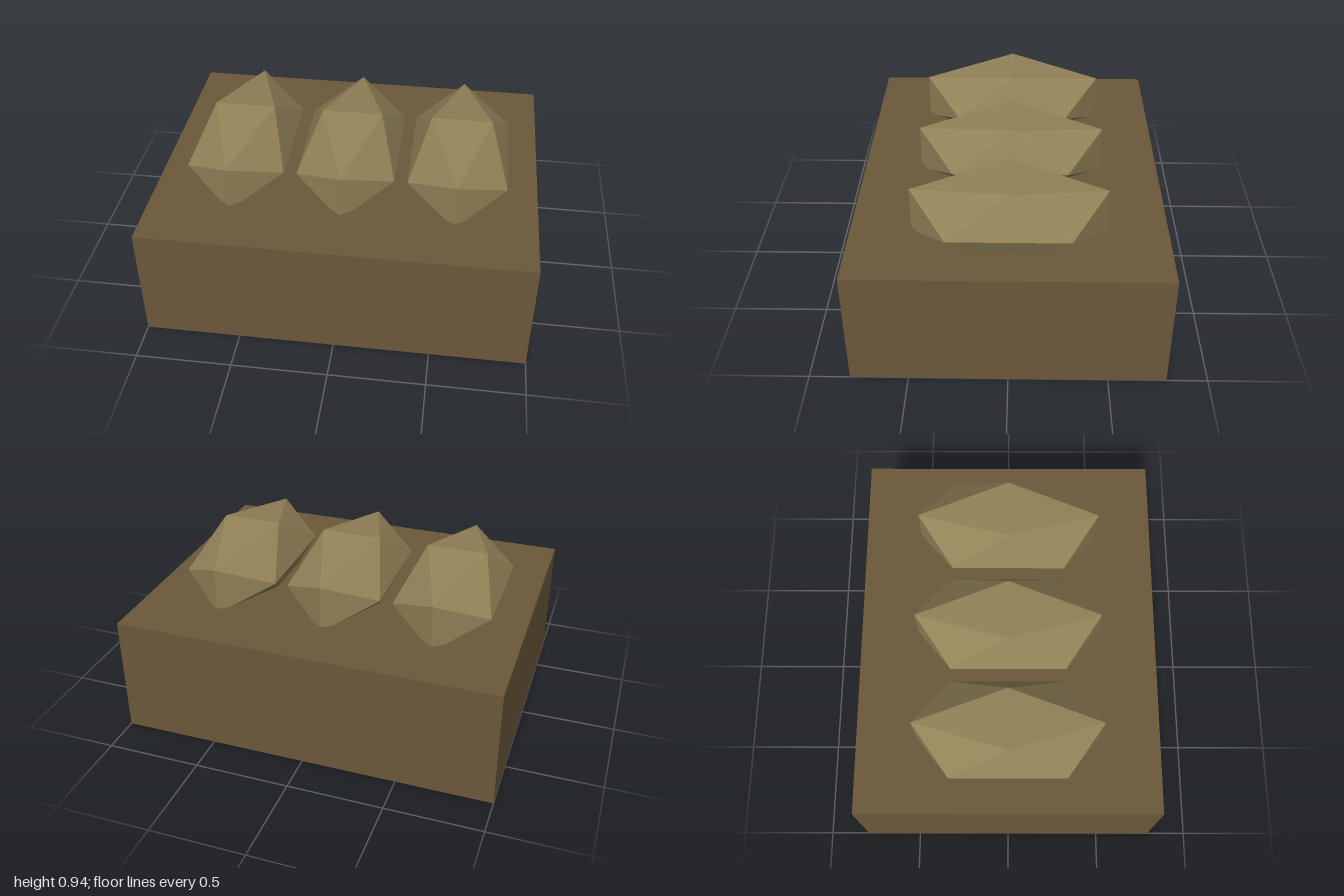
import * as THREE from 'three';

const HEIGHT = 0.634;

export function createModel() {
  const model = new THREE.Group();
  const darkBrown = new THREE.MeshStandardMaterial({ color: 0x6b583a });
  darkBrown.name = 'darkBrown';
  const paleTan = new THREE.MeshStandardMaterial({ color: 0x928258, flatShading: true });
  paleTan.name = 'paleTan';

  // Solid block standing on the ground
  const block = new THREE.Mesh(new THREE.BoxGeometry(2, HEIGHT, 1.588), darkBrown);
  block.name = 'block';
  block.position.y = HEIGHT / 2;
  model.add(block);

  // Three long faceted lumps, half sunk into the top
  const lumpGeometry = new THREE.IcosahedronGeometry(1, 0).scale(0.301, 0.242, 0.577);
  ['rightLump', 'middleLump', 'leftLump'].forEach((name, i) => {
    const lump = new THREE.Mesh(lumpGeometry, paleTan);
    lump.name = name;
    lump.position.set((i - 1) * 0.58, 0.733, 0);
    model.add(lump);
  });

  return model;
}
